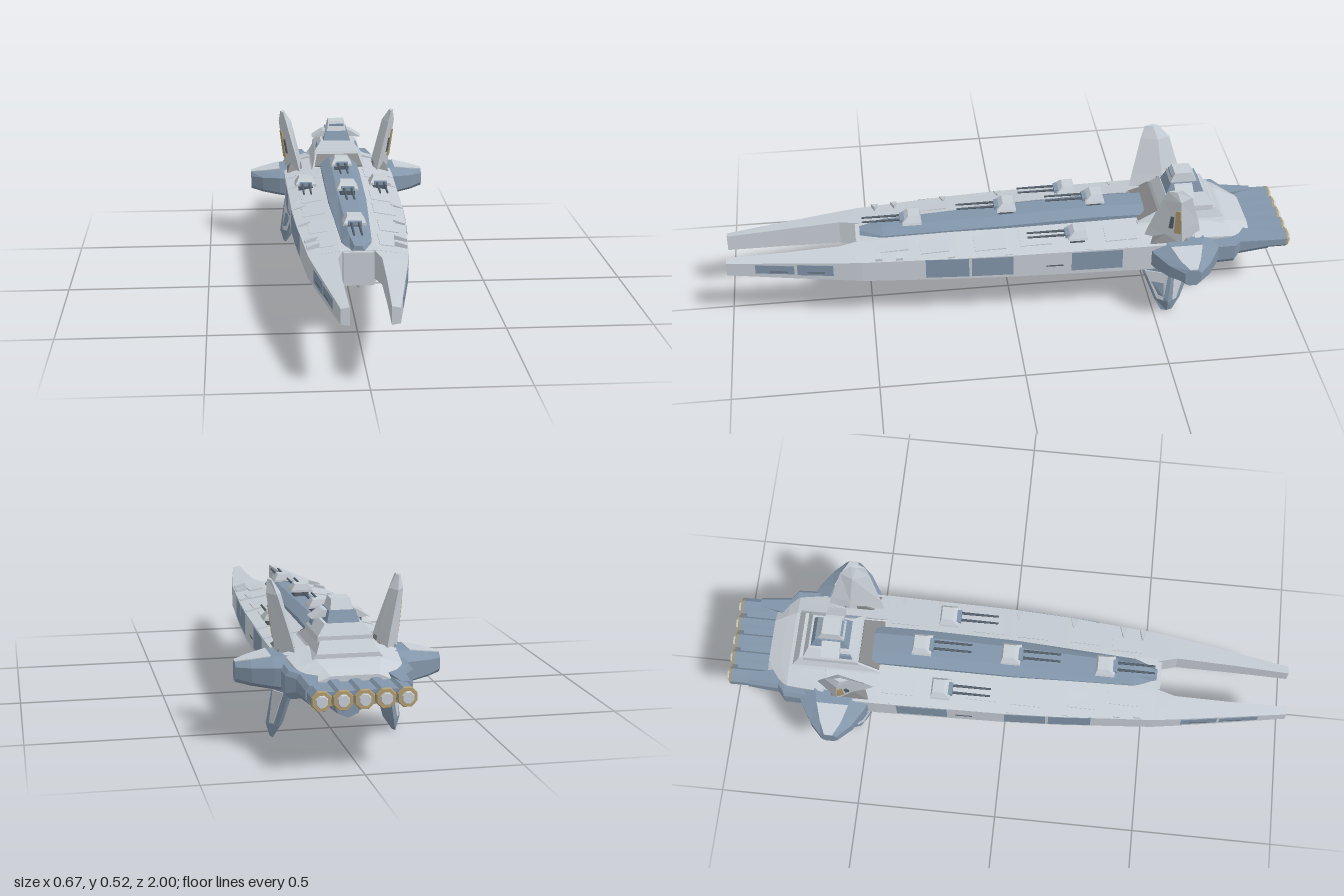
import * as THREE from 'three';

const mat = (name, color) => Object.assign(new THREE.MeshStandardMaterial({ color }), { name });

export function createModel() {
  const root = new THREE.Group();
  root.name = 'starship';
  const light = mat('light hull grey', 0xc6cdd4);
  const blue = mat('blue grey', 0x8295a9);
  const dark = mat('dark slate', 0x56616d);
  const warm = mat('warm grey', 0x858688);
  const gold = mat('dull gold', 0xb29d70);

  const add = (geo, material, name, parent = root) => {
    const m = new THREE.Mesh(geo, material);
    m.name = name;
    parent.add(m);
    return m;
  };

  // Closed flat-shaded solid through matching rings; winding is fixed by signed volume
  const loft = (rings) => {
    const tris = [], n = rings[0].length;
    for (let i = 0; i < rings.length - 1; i++)
      for (let j = 0; j < n; j++) {
        const k = (j + 1) % n, a = rings[i][j], b = rings[i][k], c = rings[i + 1][k], d = rings[i + 1][j];
        tris.push([a, b, c], [a, c, d]);
      }
    const end = rings[rings.length - 1];
    for (let j = 1; j < n - 1; j++) {
      tris.push([rings[0][0], rings[0][j + 1], rings[0][j]], [end[0], end[j], end[j + 1]]);
    }
    const o = new THREE.Vector3(...rings[0][0]);
    const v = (p) => new THREE.Vector3(...p).sub(o);
    const volume = tris.reduce((s, [a, b, c]) => s + v(a).dot(v(b).cross(v(c))), 0);
    const pts = tris.flatMap((t) => (volume < 0 ? [t[0], t[2], t[1]] : t)).flat();
    const g = new THREE.BufferGeometry();
    g.setAttribute('position', new THREE.Float32BufferAttribute(pts, 3));
    g.computeVertexNormals();
    return g;
  };
  const mirror = (rings, s) => rings.map((r) => r.map(([x, y, z]) => [x * s, y, z]));
  const pair = (rings, material, name) => {
    for (const s of [1, -1]) add(loft(mirror(rings, s)), material, (s > 0 ? 'left' : 'right') + name);
  };
  // Thin plate lying on a face: the quad is pushed out by the given offset
  const plate = (quad, [dx, dy, dz], material, name) =>
    pair([quad, quad.map(([x, y, z]) => [x + dx, y + dy, z + dz])], material, name);
  // Horizontal rectangle ring: height, half width, front z, back z
  const rect = (y, w, f, b, x = 0) => [[x - w, y, f], [x + w, y, f], [x + w, y, b], [x - w, y, b]];
  // Interpolate one column of a table whose first column falls
  const lerpTable = (table, key, col) => {
    for (let i = 0; i < table.length - 1; i++) {
      const a = table[i], b = table[i + 1];
      if (key <= a[0] && key >= b[0]) return a[col] + (b[col] - a[col]) * (a[0] - key) / (a[0] - b[0]);
    }
    return table[table.length - 1][col];
  };

  // Hull stations: z, outer x, edge top, ridge top, bottom
  const hull = [
    [1, 0.09, 0.262, 0.267, 0.212], [0.8, 0.123, 0.27, 0.277, 0.207], [0.6, 0.155, 0.277, 0.289, 0.203], [0.53, 0.165, 0.279, 0.293, 0.2],
    [0.2, 0.19, 0.286, 0.308, 0.198], [0, 0.199, 0.288, 0.314, 0.196], [-0.45, 0.207, 0.29, 0.322, 0.19],
    [-0.66, 0.205, 0.29, 0.322, 0.19],
  ];
  add(loft(hull.slice(3).map(([z, o, e, r, b]) => [
    [-o, e, z], [-0.06, r, z], [0.06, r, z], [o, e, z], [o, b, z], [0.05, b - 0.004, z], [-0.05, b - 0.004, z], [-o, b, z]])), light, 'mainHull');

  // Forked bow
  const inner = [0.063, 0.069, 0.071, 0.052];
  pair(hull.slice(0, 4).map(([z, o, e, r, b], i) => [[inner[i], r, z], [o, e, z], [o, b, z], [inner[i], b - 0.004, z]]), light, 'BowProng');
  add(loft([[0.5, 0.06], [0.545, 0.05]].map(([z, w]) => [[-w, 0.291, z], [w, 0.291, z], [w, 0.178, z], [-w, 0.178, z]])), light, 'forkWall');

  // Armour panels and slots along the flanks
  const flank = (z0, z1, y0, y1, material, name, out = 0.002) => {
    const ring = (z) => {
      const x = lerpTable(hull, z, 1);
      return [[x - 0.002, y0, z], [x + out, y0, z], [x + out, y1, z], [x - 0.002, y1, z]];
    };
    pair([ring(z0), ring(z1)], material, name);
  };
  flank(0.9, 0.765, 0.225, 0.26, blue, 'BowPanel');
  flank(0.755, 0.63, 0.222, 0.265, blue, 'BowPanel');
  for (const [a, b] of [[0.31, 0.16], [0.15, 0.005], [-0.2, -0.38]]) flank(a, b, 0.208, 0.284, blue, 'FlankPanel');
  for (const z of [0.85, 0.72, -0.11]) flank(z, z - 0.06, 0.232, 0.236, dark, 'FlankSlot', 0.0025);

  // Raised plates on the deck
  [[0.42, 0.1, 0.035], [0.27, 0.12, 0.045], [0.08, 0.125, 0.055], [-0.08, 0.125, 0.05], [-0.38, 0.13, 0.055]].forEach(([z, x, w]) => {
    const ring = (zz, dy) => [-w * 0.7, w * 0.7].flatMap((d) => {
      const o = lerpTable(hull, zz, 1), e = lerpTable(hull, zz, 2), r = lerpTable(hull, zz, 3);
      const y = r + (e - r) * (x + d - 0.06) / (o - 0.06);
      return d < 0 ? [[x + d, y - 0.004, zz], [x + d, y + dy, zz]] : [[x + d, y + dy, zz], [x + d, y - 0.004, zz]];
    });
    pair([ring(z + 0.055, 0.002), ring(z - 0.055, 0.004)], light, 'DeckPlate');
  });
  // Small wedge fairings at the deck edge
  for (const z of [0.47, 0.4, 0.22, 0.02, -0.26, -0.4]) {
    const o = lerpTable(hull, z, 1);
    pair([[[o - 0.045, 0.285, z], [o - 0.004, 0.28, z + 0.012], [o - 0.004, 0.28, z - 0.012]],
      [[o - 0.045, 0.303, z], [o - 0.004, 0.292, z + 0.012], [o - 0.004, 0.292, z - 0.012]]], light, 'DeckFairing');
  }

  // Dorsal spine
  const spine = [[0.53, 0.025, 0.308], [0.45, 0.05, 0.324], [0.02, 0.068, 0.344], [-0.3, 0.07, 0.355], [-0.48, 0.07, 0.352]];
  add(loft(spine.map(([z, w, t]) => [[-w, 0.27, z], [-w, t - 0.022, z], [-w * 0.5, t, z], [w * 0.5, t, z], [w, t - 0.022, z], [w, 0.27, z]])), blue, 'dorsalSpine');

  // Ventral keel and its pylon
  const keel = [[0.53, 0.012, 0.187, 0.165], [0.4, 0.03, 0.174, 0.14], [0.2, 0.042, 0.166, 0.115], [-0.1, 0.047, 0.161, 0.097],
    [-0.5, 0.047, 0.16, 0.08], [-0.77, 0.045, 0.16, 0.112]];
  add(loft(keel.map(([z, w, t, b]) => [[0, t + 0.004, z], [w, t - 0.006, z], [w * 0.72, b + 0.014, z], [0, b, z], [-w * 0.72, b + 0.014, z], [-w, t - 0.006, z]])), blue, 'keel');
  add(loft([rect(0.155, 0.03, -0.5, -0.72), rect(0.2, 0.04, -0.46, -0.76)]), blue, 'keelPylon');

  // Large faceted ribs between the hull and the keel
  for (let i = 0; i < 7; i++) {
    const z = 0.4 - i * 0.145, o = lerpTable(hull, z, 1) - 0.01;
    pair([[[o, 0.2, z + 0.072], [o, 0.2, z - 0.072], [o - 0.02, 0.192, z - 0.02]],
      [[0.01, 0.2, z + 0.072], [0.01, 0.2, z - 0.072], [0.01, 0.164, z + 0.02]]], light, 'BellyRib');
  }

  // Gun turrets
  const turret = (x, y, z) => {
    const g = new THREE.Group();
    g.name = 'turret';
    g.position.set(x, y, z);
    root.add(g);
    add(loft([rect(-0.014, 0.026, 0.026, -0.026), rect(0.006, 0.026, 0.026, -0.026)]), dark, 'turretBase', g);
    add(loft([rect(0.004, 0.04, 0.034, -0.034), rect(0.012, 0.037, 0.034, -0.034), rect(0.033, 0.024, 0.012, -0.028)]), light, 'turretHouse', g);
    add(new THREE.BoxGeometry(0.046, 0.013, 0.02), blue, 'gunMantlet', g).position.set(0, 0.013, 0.032);
    for (const s of [1, -1]) {
      const b = add(new THREE.CylinderGeometry(0.0035, 0.005, 0.15, 6), dark, 'gunBarrel', g);
      b.rotation.x = Math.PI / 2;
      b.position.set(s * 0.013, 0.014, 0.1);
    }
  };
  turret(0, 0.329, 0.345);
  turret(0, 0.357, 0.01);
  turret(0, 0.366, -0.305);
  for (const s of [1, -1]) turret(s * 0.138, 0.312, -0.225);

  // Bridge tower
  add(loft([rect(0.3, 0.115, -0.44, -0.76), rect(0.318, 0.1, -0.45, -0.76), rect(0.352, 0.085, -0.53, -0.735)]), light, 'bridgeBase');
  add(loft([[[-0.092, 0.321, -0.453], [0.092, 0.321, -0.453], [0.08, 0.351, -0.524], [-0.08, 0.351, -0.524]],
    [[-0.092, 0.325, -0.451], [0.092, 0.325, -0.451], [0.08, 0.355, -0.522], [-0.08, 0.355, -0.522]]]), warm, 'bridgeApron');
  add(loft([rect(0.345, 0.09, -0.52, -0.72), rect(0.365, 0.088, -0.53, -0.72), rect(0.4, 0.062, -0.555, -0.7)]), light, 'bridgeLowerTier');
  add(loft([rect(0.395, 0.054, -0.555, -0.695), rect(0.437, 0.042, -0.575, -0.675)]), blue, 'bridgeUpperTier');
  add(loft([rect(0.435, 0.037, -0.573, -0.67), rect(0.47, 0.031, -0.59, -0.65)]), light, 'bridgeCap');
  add(new THREE.BoxGeometry(0.056, 0.007, 0.008), blue, 'bridgeWindow').position.set(0, 0.457, -0.582);
  const winglet = (z) => [[0.04, 0.435, z], [0.055, 0.433, z], [0.095, 0.407, z], [0.075, 0.409, z], [0.04, 0.412, z]];
  pair([winglet(-0.585), winglet(-0.65)], light, 'BridgeWinglet');
  pair([rect(0.352, 0.01, -0.535, -0.6, 0.078), rect(0.39, 0.005, -0.55, -0.59, 0.072)], blue, 'BridgeSensor');

  // Stern deck, shoulder blocks and engine housing
  add(loft([[-0.64, 0.185, 0.318, 0.2], [-0.775, 0.17, 0.302, 0.2], [-0.81, 0.15, 0.29, 0.2], [-0.855, 0.125, 0.272, 0.2]].map(([z, w, t, b]) =>
    [[-w, b, z], [-w, t - 0.02, z], [-w * 0.6, t, z], [w * 0.6, t, z], [w, t - 0.02, z], [w, b, z]])), light, 'sternDeck');
  pair([[-0.63, 0.1, 0.21, 0.282, 0.185], [-0.785, 0.11, 0.204, 0.278, 0.187], [-0.81, 0.105, 0.175, 0.272, 0.195], [-0.92, 0.13, 0.167, 0.263, 0.203]].map(([z, a, b, t, u]) =>
    [[a, u, z], [a, t, z], [b - 0.012, t, z], [b, t - 0.015, z], [b, u + 0.02, z], [b - 0.015, u, z]]), blue, 'SternShoulder');
  for (let i = -2; i <= 2; i++) {
    const tube = (r0, r1, len, z, material, name) => {
      const m = add(new THREE.CylinderGeometry(r0, r1, len, 8).toNonIndexed(), material, name);
      m.geometry.computeVertexNormals();
      m.rotation.set(Math.PI / 2, Math.PI / 8, 0);
      m.position.set(i * 0.066, 0.232, z);
    };
    tube(0.033, 0.033, 0.19, -0.888, blue, 'engine');
    tube(0.034, 0.031, 0.008, -0.987, gold, 'engineRing');
    tube(0.022, 0.018, 0.014, -0.993, light, 'engineNozzle');
  }
  add(new THREE.BoxGeometry(0.27, 0.044, 0.16), blue, 'engineBed').position.set(0, 0.232, -0.885);

  // Side sponsons with light top covers
  const sponson = [[0.17, -0.47, -0.74, 0.184, 0.297], [0.225, -0.49, -0.715, 0.188, 0.292], [0.29, -0.53, -0.675, 0.197, 0.28], [0.335, -0.577, -0.633, 0.206, 0.271]];
  pair(sponson.map(([x, f, b, u, t]) => {
    const c = (f - b) * 0.25, h = (t - u) * 0.22;
    return [[x, u + h, f], [x, t - h, f], [x, t, f - c], [x, t, b + c], [x, t - h, b], [x, u + h, b], [x, u, b + c], [x, u, f - c]];
  }), blue, 'Sponson');
  pair(sponson.slice(1).map(([x, f, b, , t]) => {
    const c = (f - b) * 0.25;
    return [[x, t - 0.001, f - c], [x, t + 0.003, f - c], [x, t + 0.003, b + c], [x, t - 0.001, b + c]];
  }), light, 'SponsonCover');

  // Fins as diamond sections: y, outer x, inner x, leading edge x, front z, back z, ridge z
  const fin = (rows) => rows.map(([y, o, i, m, f, b, c]) => [[m, y, f], [o, y, c], [m, y, b], [i, y, c]]);
  const upper = [[0.522, 0.219, 0.204, 0.209, -0.525, -0.575, -0.555], [0.48, 0.225, 0.178, 0.197, -0.51, -0.615, -0.57],
    [0.345, 0.208, 0.145, 0.16, -0.475, -0.655, -0.585], [0.28, 0.2, 0.13, 0.145, -0.46, -0.67, -0.59]];
  const lower = [[0.2, 0.198, 0.122, 0.16, -0.45, -0.65, -0.56], [0.16, 0.207, 0.133, 0.165, -0.46, -0.64, -0.56],
    [0.045, 0.225, 0.167, 0.192, -0.505, -0.6, -0.55], [0, 0.212, 0.198, 0.205, -0.53, -0.57, -0.55]];
  pair(fin(upper), light, 'UpperFin');
  pair(fin(lower), blue, 'LowerFin');
  // Point on a fin face: 0 at the ridge (column 1 outer, 2 inner), 1 at the edge (column 4 front, 5 back)
  const onFin = (rows, ridge, edge, y, t) => {
    const [r, m, e, c] = [ridge, 3, edge, 6].map((col) => lerpTable(rows, y, col));
    return [r + (m - r) * t, y, c + (e - c) * t];
  };
  const finPlate = (rows, ridge, edge, y0, y1, ts, push, material, name) =>
    plate(ts.map((t, i) => onFin(rows, ridge, edge, i < 2 ? y0 : y1, t)), push, material, name);
  finPlate(upper, 1, 4, 0.335, 0.44, [0.02, 0.22, 0.22, 0.02], [0.003, 0, 0.002], gold, 'FinMarker');
  finPlate(upper, 1, 4, 0.355, 0.41, [0.27, 0.4, 0.4, 0.27], [0.003, 0, 0.002], dark, 'FinSlot');
  finPlate(lower, 1, 4, 0.16, 0.05, [0.1, 0.88, 0.75, 0.3], [0.003, 0, 0.002], light, 'LowerFinPanel');
  finPlate(lower, 1, 5, 0.16, 0.05, [0.1, 0.7, 0.6, 0.3], [0.003, 0, -0.002], light, 'LowerFinRearPanel');
  finPlate(lower, 2, 4, 0.165, 0.06, [0.2, 0.9, 0.85, 0.55], [-0.002, 0, 0.003], warm, 'LowerFinInnerPanel');
  pair([rect(0.28, 0.035, -0.455, -0.62, 0.168), rect(0.32, 0.02, -0.53, -0.6, 0.162)], warm, 'FinRoot');

  return root;
}
